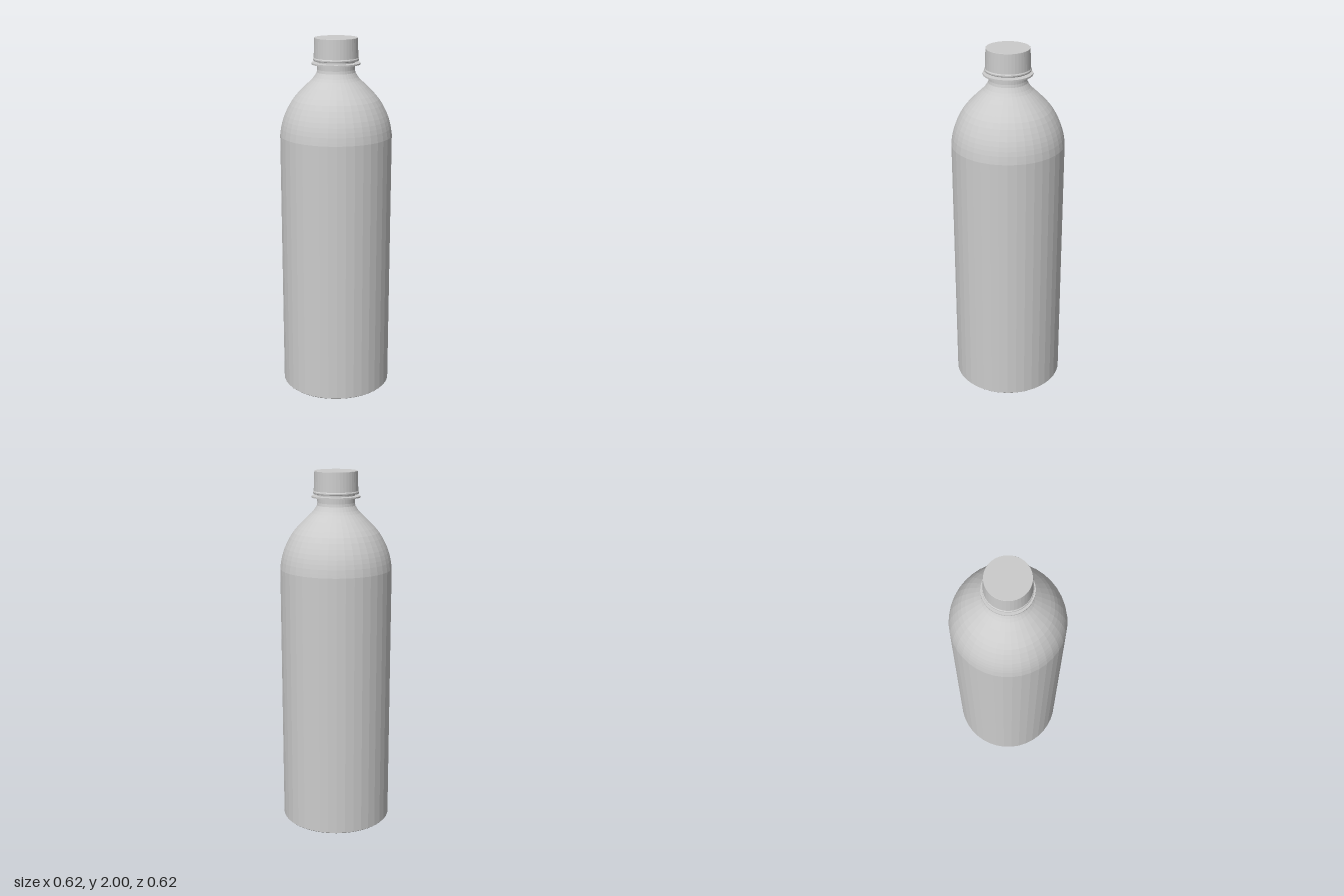
import * as THREE from 'three';

const SIDES = 40;

export function createModel() {
  const bottle = new THREE.Group();
  bottle.name = 'bottle';
  const material = new THREE.MeshStandardMaterial({ color: 0xcccccc, flatShading: true });

  // Turns a profile of [radius, height] points, listed from bottom to top.
  const turn = (name, profile) => {
    const points = profile.map(([r, y]) => new THREE.Vector2(r, y));
    const mesh = new THREE.Mesh(new THREE.LatheGeometry(points, SIDES), material);
    mesh.name = name;
    bottle.add(mesh);
  };

  // Rounded shoulder that sweeps from the straight wall into the neck
  const shoulder = new THREE.SplineCurve([
    [0.309, 1.47], [0.299, 1.53], [0.277, 1.595], [0.235, 1.67],
    [0.175, 1.735], [0.128, 1.78], [0.105, 1.815],
  ].map(([r, y]) => new THREE.Vector2(r, y)))
    .getPoints(16).map((p) => [p.x, p.y]);

  // Flat base, straight wall, shoulder and neck
  turn('body', [[0, 0], [0.305, 0], [0.309, 0.004], ...shoulder, [0.102, 1.83], [0.102, 1.9]]);

  // Thin support ring around the neck
  turn('neckRing', [[0.1, 1.856], [0.133, 1.858], [0.133, 1.866], [0.1, 1.868]]);

  // Screw cap with a slightly flared lower band
  turn('cap', [
    [0, 1.878], [0.123, 1.878], [0.125, 1.882], [0.125, 1.888],
    [0.121, 1.893], [0.117, 1.998], [0.116, 2], [0, 2],
  ]);

  return bottle;
}
